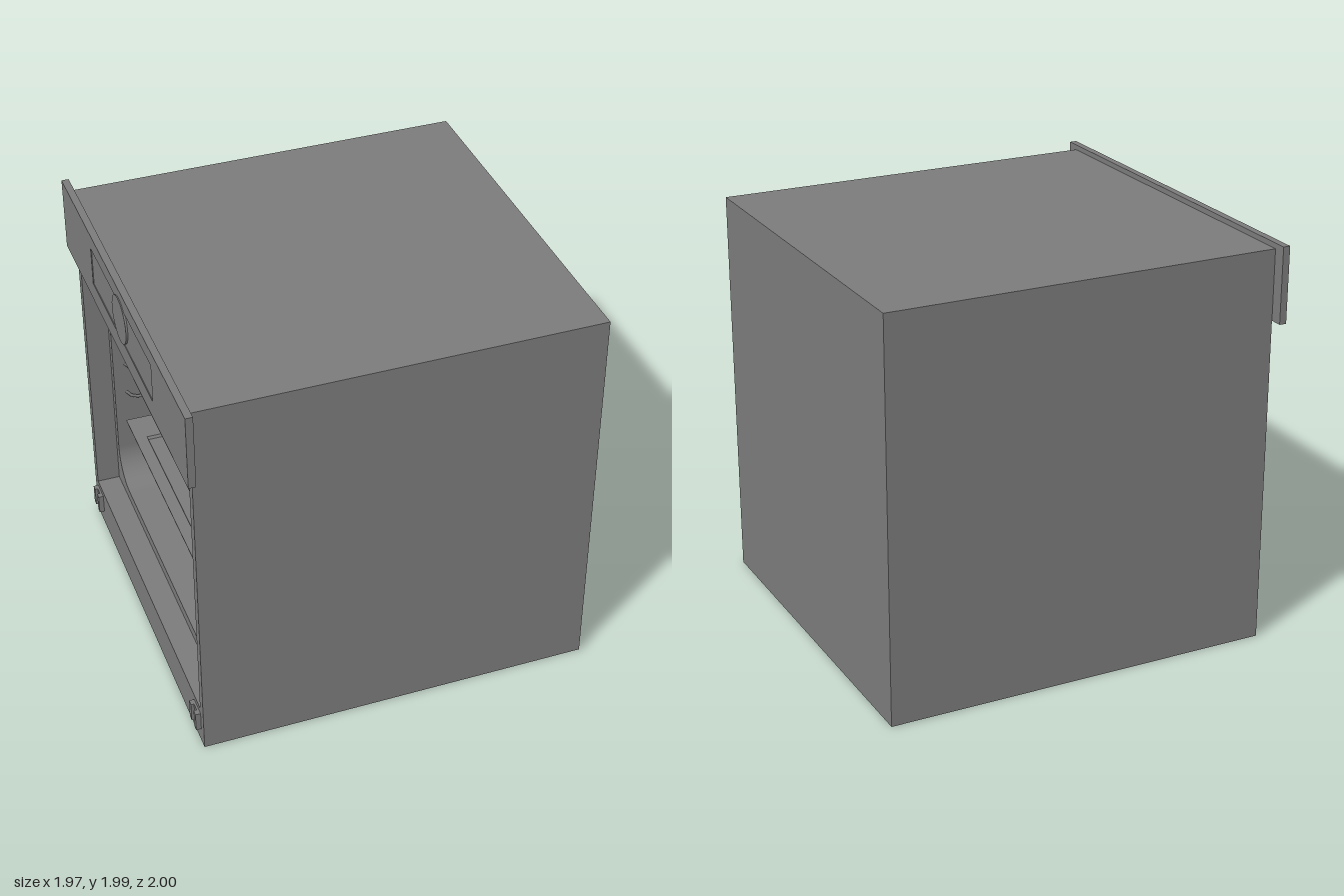
import * as THREE from 'three';

const mat = new THREE.MeshStandardMaterial({ color: 0x7b7b7b, side: THREE.DoubleSide });

// Rounded rectangle outline across z (u) and y (v); r = 0 gives square corners
function outline(path, halfW, y0, y1, r = 0) {
  path.moveTo(-halfW + r, y0);
  path.lineTo(halfW - r, y0);
  if (r) path.absarc(halfW - r, y0 + r, r, -Math.PI / 2, 0, false);
  path.lineTo(halfW, y1 - r);
  if (r) path.absarc(halfW - r, y1 - r, r, 0, Math.PI / 2, false);
  path.lineTo(-halfW + r, y1);
  if (r) path.absarc(-halfW + r, y1 - r, r, Math.PI / 2, Math.PI, false);
  path.lineTo(-halfW, y0 + r);
  if (r) path.absarc(-halfW + r, y0 + r, r, Math.PI, Math.PI * 1.5, false);
  path.closePath();
  return path;
}

// Sleeve running along x from x0 to x1
function sleeve(outer, inner, x0, x1) {
  const shape = outline(new THREE.Shape(), ...outer);
  shape.holes.push(outline(new THREE.Path(), ...inner));
  const g = new THREE.ExtrudeGeometry(shape, { depth: x1 - x0, bevelEnabled: false, curveSegments: 12 });
  return g.rotateY(Math.PI / 2).translate(x0, 0, 0);
}

// Box given by its limits
function block(x0, x1, y0, y1, z0, z1) {
  return new THREE.BoxGeometry(x1 - x0, y1 - y0, z1 - z0)
    .translate((x0 + x1) / 2, (y0 + y1) / 2, (z0 + z1) / 2);
}

// Baking tray: rectangular loops stepping from the rim down to the floor
function trayGeometry(x0, x1, halfW, y) {
  const loops = [[0, 0, -0.006], [0, 0, 0], [0.06, 0.17, 0], [0.065, 0.18, -0.012]];
  const pos = [], idx = [];
  for (const [dx, dz, dy] of loops) {
    for (const [sx, sz] of [[0, -1], [0, 1], [1, 1], [1, -1]]) {
      pos.push(sx ? x1 - dx : x0 + dx, y + dy, sz * (halfW - dz));
    }
  }
  for (let l = 0; l < loops.length - 1; l++) {
    for (let i = 0; i < 4; i++) {
      const a = l * 4 + i, b = l * 4 + (i + 1) % 4;
      idx.push(a, b, b + 4, a, b + 4, a + 4);
    }
  }
  const f = (loops.length - 1) * 4;
  idx.push(f, f + 1, f + 2, f, f + 2, f + 3);
  const g = new THREE.BufferGeometry();
  g.setAttribute('position', new THREE.Float32BufferAttribute(pos, 3));
  g.setIndex(idx);
  const flat = g.toNonIndexed();
  flat.computeVertexNormals();
  return flat;
}

export function createModel() {
  const model = new THREE.Group();
  model.name = 'builtInOven';
  const add = (name, geometry, parent = model) => {
    const m = new THREE.Mesh(geometry, mat);
    m.name = name;
    parent.add(m);
    return m;
  };

  // Cabinet with the opening towards -x
  add('cabinet', sleeve([0.937, 0, 1.961], [0.89, 0.21, 1.6], -0.945, 0.975));
  add('backPanel', block(0.975, 0.985, 0, 1.961, -0.937, 0.937));

  // Rounded cooking cavity, set back behind the opening
  add('cavityLiner', sleeve([0.89, 0.21, 1.6], [0.85, 0.265, 1.53, 0.17], -0.83, 0.6));
  add('cavityBack', block(0.6, 0.62, 0.21, 1.6, -0.89, 0.89));

  // Control panel with a sunken display strip and a dial
  const panel = new THREE.Group();
  panel.name = 'controlPanel';
  model.add(panel);
  add('panelFace', sleeve([1, 1.617, 1.987], [0.49, 1.715, 1.91], -0.98, -0.976), panel);
  add('panelBoard', block(-0.976, -0.945, 1.617, 1.987, -1, 1), panel);
  add('dial', new THREE.CylinderGeometry(0.115, 0.115, 0.01, 40)
    .rotateZ(Math.PI / 2).translate(-0.98, 1.825, -0.01), panel);

  // Hinge sockets on the lower front strip
  for (const s of [-1, 1]) {
    const hinge = new THREE.Group();
    hinge.name = 'hingeSocket';
    model.add(hinge);
    const z = s * 0.845;
    add('hingePlate', block(-0.955, -0.945, 0.08, 0.18, z - 0.05, z + 0.05), hinge);
    for (const e of [-1, 1]) {
      add('hingeSide', block(-0.97, -0.945, 0.08, 0.18, z + e * 0.035 - 0.015, z + e * 0.035 + 0.015), hinge);
    }
  }

  // Thin shelf rails with upturned ends on both cavity walls
  for (const s of [-1, 1]) {
    for (const y of [1.225, 1.115, 0.925, 0.75]) {
      const z = s * 0.84;
      const path = new THREE.CatmullRomCurve3([
        [-0.77, y + 0.03, s * 0.852], [-0.75, y + 0.01, z], [-0.69, y - 0.01, z], [-0.58, y, z],
        [0.4, y, z], [0.47, y + 0.01, z], [0.5, y + 0.03, s * 0.852],
      ].map((p) => new THREE.Vector3(...p)));
      add('shelfRail', new THREE.TubeGeometry(path, 40, 0.008, 8));
    }
  }

  // Two baking trays
  for (const y of [1.04, 0.63]) add('bakingTray', trayGeometry(-0.79, 0.5, 0.81, y));

  return model;
}
